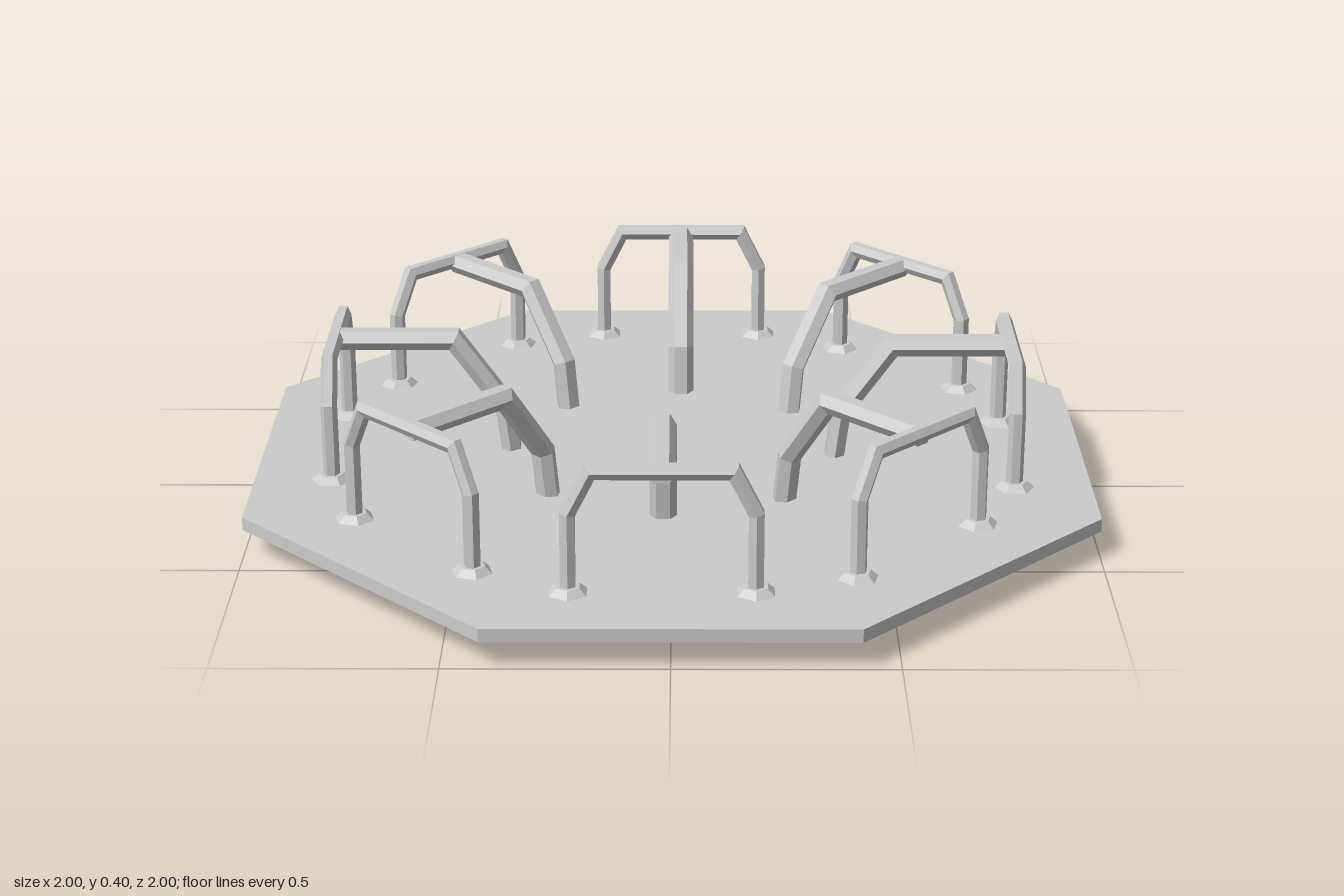
import * as THREE from 'three';

const material = new THREE.MeshStandardMaterial({ color: 0xcccccc, flatShading: true });

function part(name, geometry, x = 0, y = 0, z = 0) {
  const mesh = new THREE.Mesh(geometry, material);
  mesh.name = name;
  mesh.position.set(x, y, z);
  return mesh;
}

// Six-sided bar swept along a planar path (w = plane normal) with mitred bends.
// halfN is the half size within the plane, halfW the half size across it.
function bentBar(points, w, halfN, halfW) {
  const path = points.map((p) => new THREE.Vector3(...p));
  const last = path.length - 1;
  const normals = [];
  for (let i = 0; i < last; i++) {
    const t = path[i + 1].clone().sub(path[i]).normalize();
    normals.push(new THREE.Vector3().crossVectors(w, t));
  }
  const rings = path.map((p, i) => {
    const a = normals[Math.max(i - 1, 0)];
    const b = normals[Math.min(i, last - 1)];
    const mitre = a.clone().add(b).normalize();
    mitre.divideScalar(mitre.dot(a));
    return Array.from({ length: 6 }, (_, j) => {
      const angle = Math.PI / 6 + (j * Math.PI) / 3;
      return p.clone()
        .addScaledVector(mitre, (Math.cos(angle) / Math.cos(Math.PI / 6)) * halfN)
        .addScaledVector(w, Math.sin(angle) * halfW);
    });
  });
  const corners = [];
  for (let i = 0; i < last; i++) {
    for (let j = 0; j < 6; j++) {
      const k = (j + 1) % 6;
      const [a, b, c, d] = [rings[i][j], rings[i][k], rings[i + 1][k], rings[i + 1][j]];
      corners.push(a, b, c, a, c, d);
    }
  }
  // End caps
  for (let j = 1; j < 5; j++) {
    corners.push(rings[0][0], rings[0][j + 1], rings[0][j]);
    corners.push(rings[last][0], rings[last][j], rings[last][j + 1]);
  }
  const geometry = new THREE.BufferGeometry().setFromPoints(corners);
  geometry.computeVertexNormals();
  return geometry;
}

export function createModel() {
  const model = new THREE.Group();
  model.name = 'merryGoRound';

  // Octagonal deck with its flat sides facing the axes
  const deckRadius = 1 / Math.cos(Math.PI / 8);
  const deckGeometry = new THREE.CylinderGeometry(deckRadius, deckRadius, 0.032, 8);
  deckGeometry.rotateY(Math.PI / 8);
  model.add(part('deck', deckGeometry, 0, 0.08, 0));

  // Flared pedestal, turned half a side from the deck
  model.add(part('pedestal', new THREE.CylinderGeometry(0.145, 0.215, 0.066, 8), 0, 0.033, 0));

  // Shared handrail shapes
  const hoopGeometry = bentBar(
    [
      [-0.207, 0.09, 0], [-0.207, 0.285, 0], [-0.157, 0.385, 0],
      [0.157, 0.385, 0], [0.207, 0.285, 0], [0.207, 0.09, 0],
    ],
    new THREE.Vector3(0, 0, 1), 0.017, 0.02,
  );
  const armGeometry = bentBar(
    [[0, 0.378, 0], [0, 0.378, -0.285], [0, 0.21, -0.405], [0, 0.09, -0.42]],
    new THREE.Vector3(1, 0, 0), 0.023, 0.032,
  );
  const footGeometry = new THREE.CylinderGeometry(0.03, 0.048, 0.016, 6);

  // Eight handrails around the deck, each slightly off its radial line
  for (let i = 0; i < 8; i++) {
    const rail = new THREE.Group();
    rail.name = 'handrail';
    rail.add(part('hoop', hoopGeometry), part('innerArm', armGeometry));
    for (const side of [-1, 1]) {
      rail.add(part('footFlange', footGeometry, side * 0.207, 0.104, 0));
    }
    rail.position.set(-0.02, 0, 0.815);

    const turn = new THREE.Group();
    turn.name = 'handrailMount';
    turn.rotation.y = (i * Math.PI) / 4;
    turn.add(rail);
    model.add(turn);
  }
  return model;
}
